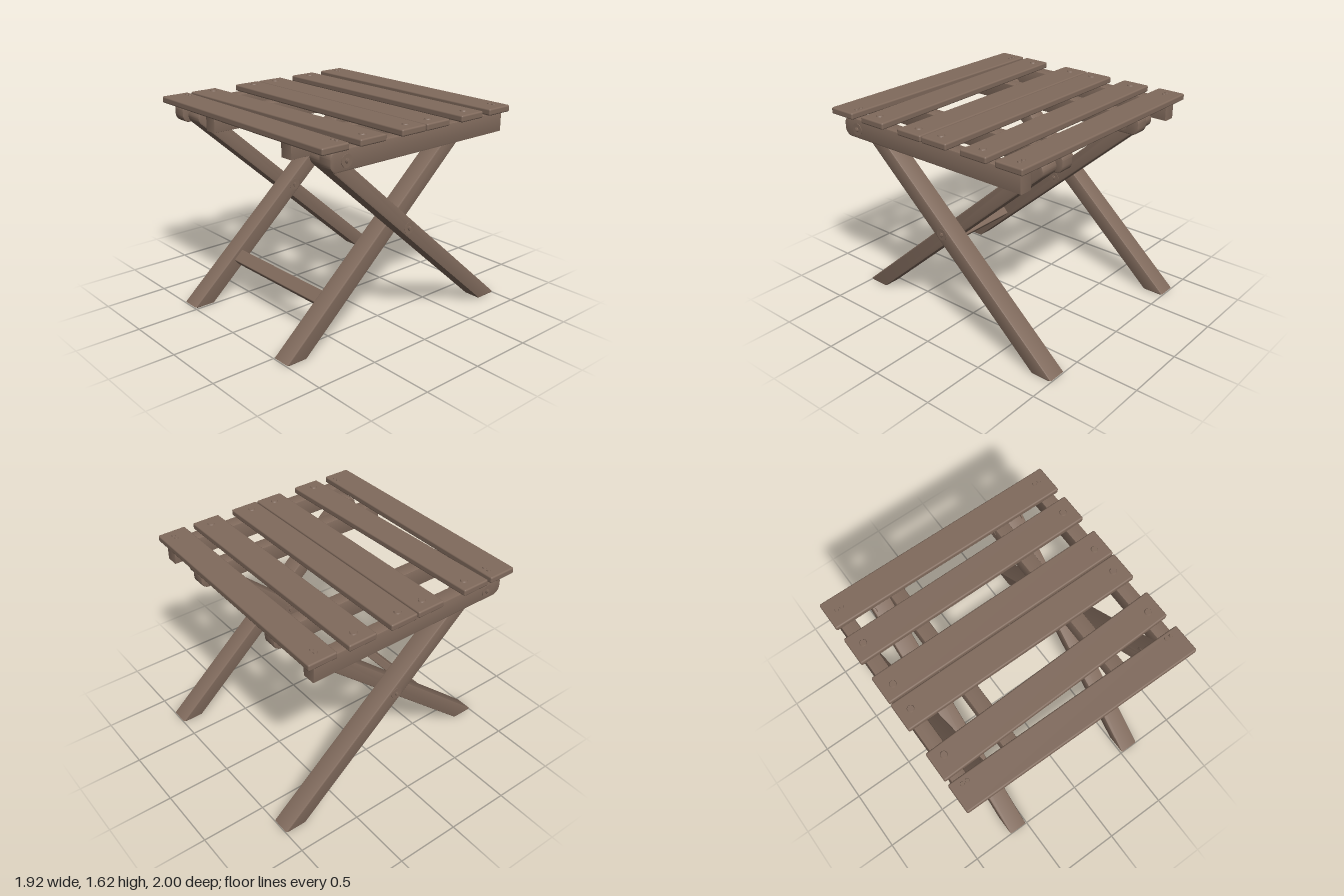
import * as THREE from 'three';
import { toCreasedNormals } from 'three/addons/utils/BufferGeometryUtils.js';
import { RoundedBoxGeometry } from 'three/addons/geometries/RoundedBoxGeometry.js';

const wood = new THREE.MeshStandardMaterial({ color: 0x806a5c });
wood.name = 'brown wood';

function add(parent, geometry, name, x = 0, y = 0, z = 0) {
  const mesh = new THREE.Mesh(geometry, wood);
  mesh.name = name;
  mesh.position.set(x, y, z);
  parent.add(mesh);
  return mesh;
}

// Extrudes a (z, y) side profile into a softly bevelled beam centred on x = 0
function beam(shape, width) {
  const b = 0.01;
  const g = new THREE.ExtrudeGeometry(shape, {
    depth: width - 2 * b, bevelThickness: b, bevelSize: b, bevelOffset: -b,
    bevelSegments: 2, curveSegments: 12,
  });
  g.translate(0, 0, -(width - 2 * b) / 2);
  g.rotateY(-Math.PI / 2);
  return toCreasedNormals(g, 0.6);
}

// Leg: foot at +z cut flat on the ground, round top at -z
const TILT = 0.725;
function legShape() {
  const s = new THREE.Shape();
  const a = Math.PI / 2 - TILT;
  s.moveTo(1.0, 0.01);
  s.lineTo(0.98, 0);
  s.lineTo(0.83, 0);
  s.absarc(-0.73, 1.462, 0.06, a + Math.PI, a, true);
  s.closePath();
  return s;
}

// Rail: rounded at the +z pivot end, square at the other
function railShape() {
  const s = new THREE.Shape();
  const r = 0.06;
  s.moveTo(-0.82, 1.41);
  s.lineTo(0.835 - r, 1.41);
  s.absarc(0.835 - r, 1.41 + r, r, -Math.PI / 2, 0, false);
  s.absarc(0.835 - r, 1.56 - r, r, 0, Math.PI / 2, false);
  s.lineTo(-0.82, 1.56);
  s.closePath();
  return s;
}

// Bolt along x with a washer and a small nut on each end
function bolt(name, x0, x1, y, z) {
  const g = new THREE.Group();
  g.name = name;
  const rod = (r, len, x, part, sides = 20) =>
    add(g, new THREE.CylinderGeometry(r, r, len, sides).rotateZ(Math.PI / 2), part, x, y, z);
  rod(0.011, x1 - x0, (x0 + x1) / 2, 'boltRod', 12);
  rod(0.046, 0.006, x0 + 0.02, 'washer');
  rod(0.046, 0.006, x1 - 0.02, 'washer');
  rod(0.018, 0.012, x0 + 0.011, 'nut', 6);
  rod(0.018, 0.012, x1 - 0.011, 'nut', 6);
  return g;
}

export function createModel() {
  const stool = new THREE.Group();
  stool.name = 'foldingStool';

  const leg = beam(legShape(), 0.15);
  const rail = beam(railShape(), 0.113);

  for (const s of [-1, 1]) {
    const side = s > 0 ? 'left' : 'right';
    // Crossed legs; the outer ones are turned round
    add(stool, leg, side + 'InnerLeg', s * 0.585);
    add(stool, leg, side + 'OuterLeg', s * 0.735).rotation.y = Math.PI;
    // Rails under the seat, each pivoting on its neighbouring leg
    add(stool, rail, side + 'OuterRail', s * 0.867);
    add(stool, rail, side + 'InnerRail', s * 0.455).rotation.y = Math.PI;
    // Pivot bolts
    const span = (a, b) => (s > 0 ? [a, b] : [-b, -a]);
    stool.add(bolt(side + 'CrossBolt', ...span(0.49, 0.83), 0.815, 0));
    stool.add(bolt(side + 'FrontBolt', ...span(0.66, 0.945), 1.48, 0.7));
    stool.add(bolt(side + 'BackBolt', ...span(0.378, 0.66), 1.48, -0.7));
  }

  // Stretcher between the inner legs
  const stretcher = add(stool, new RoundedBoxGeometry(1.03, 0.067, 0.105, 2, 0.008), 'stretcher', 0, 0.32, 0.56);
  stretcher.rotation.x = Math.PI / 2 - (Math.PI / 2 - TILT);

  // Seat slats: centre z at the two ends, and whether each end has a pair of screws
  const slats = [
    [-0.772, -0.751, true], [-0.453, -0.453, false], [-0.104, -0.104, false],
    [0.131, 0.131, false], [0.549, 0.499, false], [0.805, 0.818, true],
  ];
  const screwZ = [-0.775, -0.46, -0.09, 0.125, 0.515, 0.745];
  slats.forEach(([zr, zl, pair], i) => {
    const g = new RoundedBoxGeometry(1.92, 0.05, 0.225, 3, 0.012);
    const shear = new THREE.Matrix4();
    shear.elements[2] = (zl - zr) / 1.92;
    g.applyMatrix4(shear);
    add(stool, g, 'slat' + (i + 1), 0, 1.583, (zr + zl) / 2);
    // Screw heads
    for (const s of [-1, 1]) {
      for (const x of pair ? [0.84, 0.88] : [0.865]) {
        const r = pair ? 0.016 : 0.028;
        add(stool, new THREE.CylinderGeometry(r * 0.8, r, 0.01, 20), 'screwHead', s * x, 1.611, screwZ[i]);
      }
    }
  });

  return stool;
}
